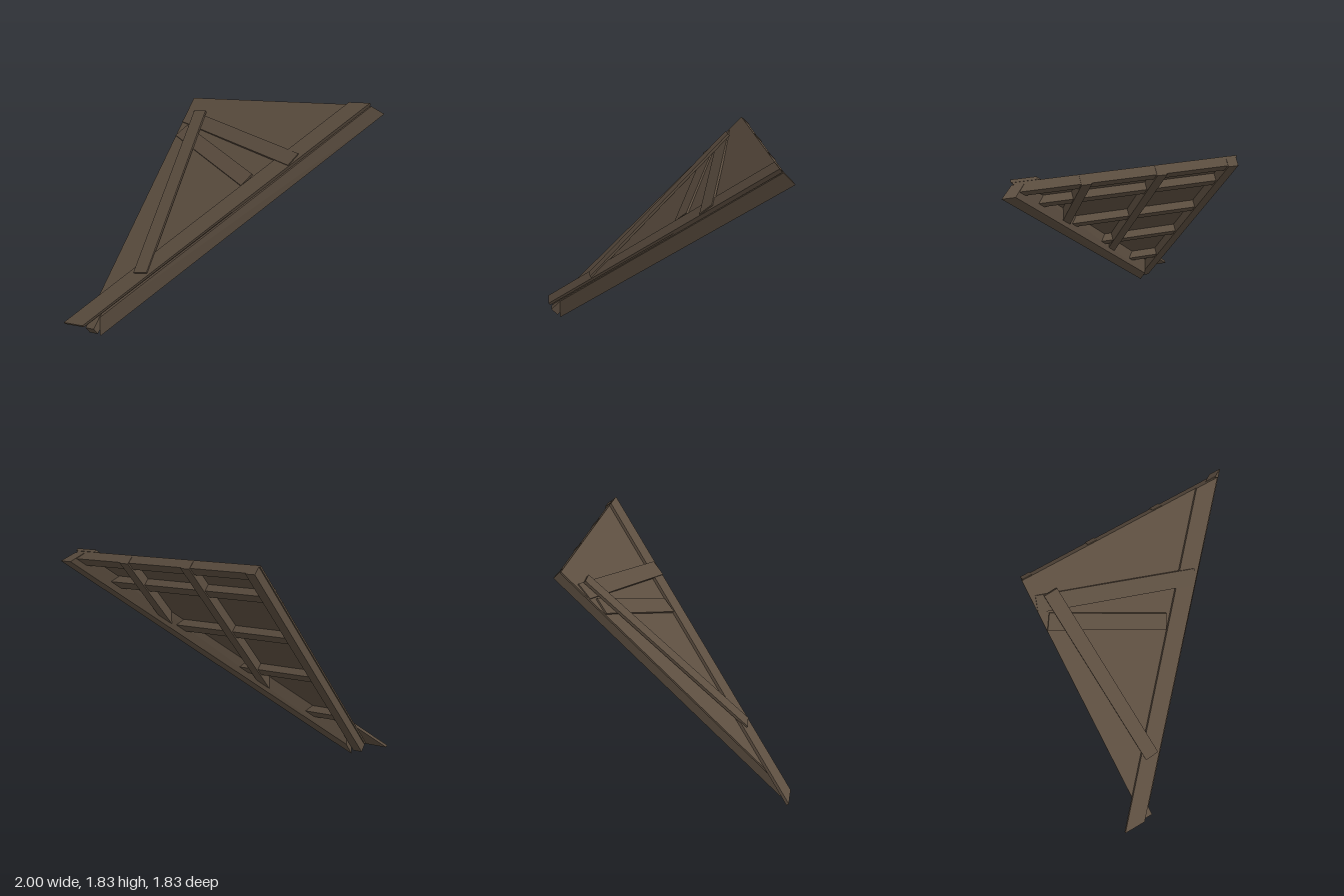
import * as THREE from 'three';

export function createModel() {
  const model = new THREE.Group();
  model.name = 'hipRoofCorner';
  const wood = new THREE.MeshStandardMaterial({ color: 0x5c4e40, flatShading: true });
  wood.name = 'weatheredWood';

  // The roof slopes at 45 degrees: s = y - z runs up the slope, n = y + z points out of it
  const slope = new THREE.Group();
  slope.name = 'roofSlope';
  slope.rotation.x = -Math.PI / 4;
  model.add(slope);
  const k = Math.SQRT1_2;

  // Flat piece from an outline of [x, s] points, between two heights n; tilt raises it along x
  function slab(name, pts, n0, n1, tilt = 0) {
    const shape = new THREE.Shape(pts.map(([x, s]) => new THREE.Vector2(x, s * k)));
    const geo = new THREE.ExtrudeGeometry(shape, { depth: (n1 - n0) * k, bevelEnabled: false });
    geo.translate(0, 0, n0 * k);
    const p = geo.attributes.position;
    for (let i = 0; i < p.count; i++) p.setZ(i, p.getZ(i) + tilt * k * p.getX(i));
    geo.computeVertexNormals();
    const mesh = new THREE.Mesh(geo, wood);
    mesh.name = name;
    slope.add(mesh);
  }

  const top = 2.63;
  const hipS = (x) => 2 * x + 0.85; // where the framing meets the hip
  const hipX = (s) => (s - 0.85) / 2;

  // Covering sheet and the cap board along the hip
  slab('roofSheet', [[-0.81, -0.79], [0.9, top], [-0.81, top]], 0.962, 0.982);
  slab('hipCapBoard', [[-1, -0.815], [-0.81, -0.815], [0.91, 2.635], [0.72, 2.635]], 0.982, 1.015);

  // Repair planks nailed on the face, outlines given as [x, y]
  const plank = (name, pts, n0, n1, tilt) =>
    slab(name, pts.map(([x, y]) => [x, 2 * y - n1]), n0, n1, tilt);
  plank('longPlank', [[-0.81, 1.62], [0.405, 1.325], [0.455, 1.415], [-0.77, 1.715]], 0.988, 1.017, 0.028);
  plank('shortPlank', [[-0.805, 1.5], [0.05, 1.155], [0.105, 1.245], [-0.735, 1.585]], 0.975, 1.007, 0.008);
  plank('uprightPlank', [[-0.565, 0.49], [-0.445, 0.5], [-0.6, 1.71], [-0.715, 1.705]], 1.005, 1.035, 0);

  // Rafters running up the slope
  slab('edgeRafter', [[-0.8, -0.81], [-0.72, -0.81], [-0.72, 2.635], [-0.8, 2.635]], 0.86, 0.965);
  for (const x of [-0.235, 0.338]) {
    const r = x + 0.078;
    slab('rafter', [[x, hipS(x)], [r, hipS(r)], [r, 2.635], [x, 2.635]], 0.86, 0.965);
  }

  // Cross battens between the rafters, with the top one closing the edge
  for (const s of [top - 0.055, 2.2, 1.47, 0.73, -0.08]) {
    const a = s - 0.055, b = s + 0.055;
    slab('crossBatten', [[-0.73, a], [hipX(a), a], [hipX(b), b], [-0.73, b]], 0.875, 0.963);
  }

  // Hip rafter: a slightly twisted beam, outer corners first, then inner ones
  const corners = [
    -0.715, 0, 0.81, -0.715, 0.155, 0.81, 0.91, 1.795, -0.84, 1, 1.73, -0.91,
    -0.715, 0.11, 0.71, -0.715, 0.255, 0.71, 0.82, 1.795, -0.84, 0.9, 1.73, -0.91,
  ];
  const quads = [[3, 2, 1, 0], [4, 5, 6, 7], [0, 1, 5, 4], [3, 7, 6, 2], [1, 2, 6, 5], [0, 4, 7, 3]];
  const indexed = new THREE.BufferGeometry();
  indexed.setAttribute('position', new THREE.Float32BufferAttribute(corners, 3));
  indexed.setIndex(quads.flatMap(([a, b, c, d]) => [a, b, c, a, c, d].map((i) => i)));
  // The outer face splits from its lower top corner to its upper bottom corner
  const index = indexed.index.array;
  index.set([0, 3, 1, 3, 2, 1], 0);
  const hipGeo = indexed.toNonIndexed();
  hipGeo.computeVertexNormals();
  const hip = new THREE.Mesh(hipGeo, wood);
  hip.name = 'hipRafter';
  model.add(hip);

  return model;
}
